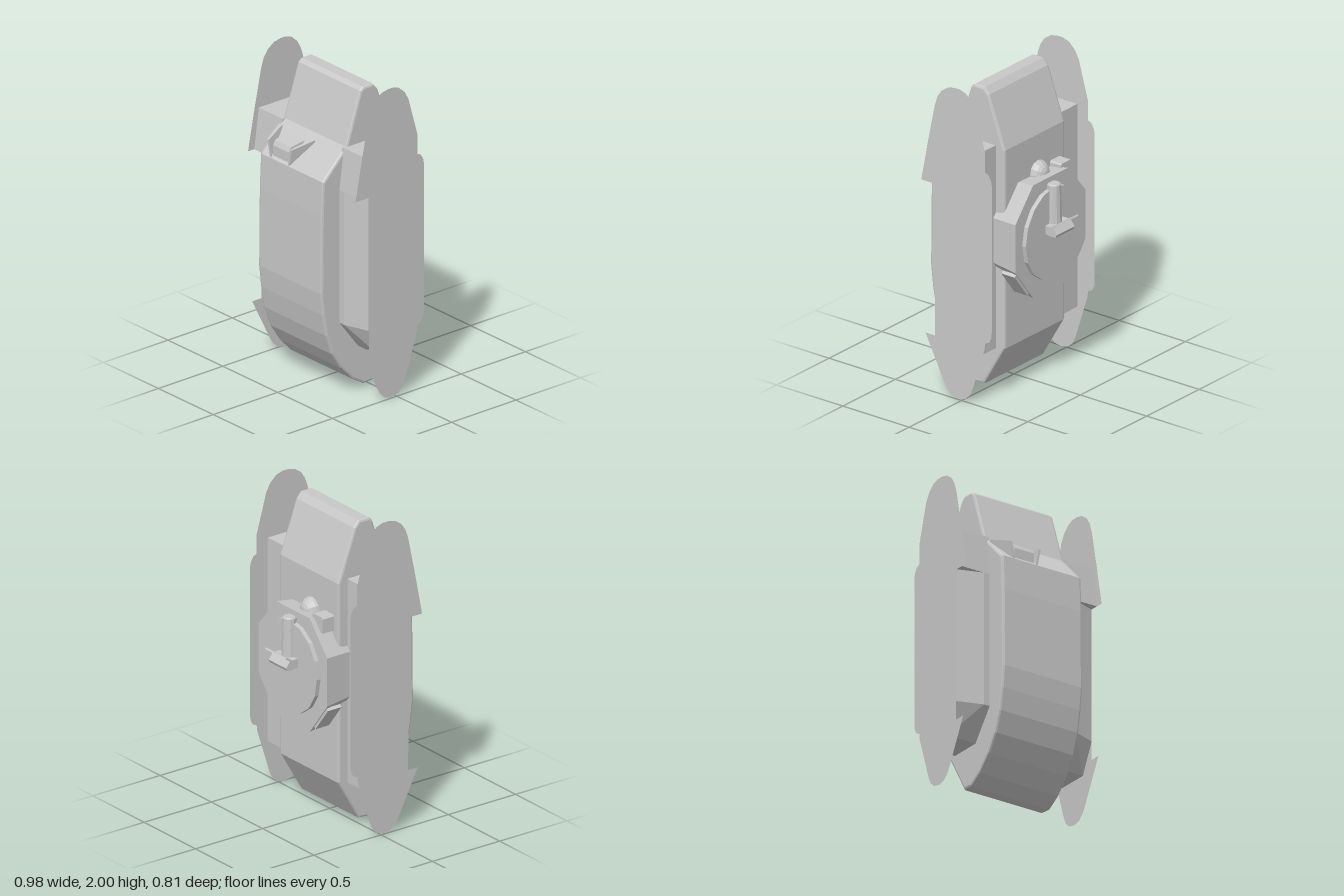
import * as THREE from 'three';

const grey = new THREE.MeshStandardMaterial({ color: 0xc8c8c8, flatShading: true, side: THREE.DoubleSide });
grey.name = 'light grey';

const toShape = (pts) => new THREE.Shape(pts.map(([a, b]) => new THREE.Vector2(a, b)));

// Extrude a (z, y) profile across x from x0 to x1
function acrossX(pts, x0, x1, bevel = 0) {
  const g = new THREE.ExtrudeGeometry(toShape(pts), {
    depth: x1 - x0 - 2 * bevel, bevelEnabled: bevel > 0,
    bevelSize: bevel, bevelThickness: bevel, bevelOffset: -bevel, bevelSegments: 2,
  });
  return g.rotateY(-Math.PI / 2).translate(x1 - bevel, 0, 0);
}

// Extrude an (x, y) profile along z from z0 to z1
function alongZ(pts, z0, z1) {
  return new THREE.ExtrudeGeometry(toShape(pts), { depth: z1 - z0, bevelEnabled: false }).translate(0, 0, z0);
}

// Extrude an (x, z) profile up y from y0 to y1
function alongY(pts, y0, y1) {
  const g = new THREE.ExtrudeGeometry(toShape(pts.map(([x, z]) => [x, -z])), { depth: y1 - y0, bevelEnabled: false });
  return g.rotateX(-Math.PI / 2).translate(0, y0, 0);
}

// Move every vertex by a rule
function reshape(g, rule) {
  const p = g.attributes.position, v = new THREE.Vector3();
  for (let i = 0; i < p.count; i++) {
    v.fromBufferAttribute(p, i);
    rule(v);
    p.setXYZ(i, v.x, v.y, v.z);
  }
  g.computeVertexNormals();
  return g;
}

export function createModel() {
  const root = new THREE.Group();
  root.name = 'armouredVehicle';
  const add = (name, geo, parent = root) => {
    const m = new THREE.Mesh(geo, grey);
    m.name = name;
    parent.add(m);
    return m;
  };

  // Hull with softened edges
  add('hull', acrossX([
    [0.0, 1.95], [-0.035, 1.91], [-0.155, 1.58], [-0.155, 0.3], [0.0, 0.035], [0.07, 0.03],
    [0.16, 0.085], [0.25, 0.18], [0.32, 0.29], [0.365, 0.42], [0.39, 0.56], [0.405, 0.7],
    [0.4, 1.2], [0.39, 1.42], [0.21, 1.6], [0.1, 1.93], [0.075, 1.95],
  ], -0.288, 0.288, 0.014));

  // Side plates and the sponsons between them and the hull
  const plate = [
    [0.06, 2.0], [0.11, 1.99], [0.16, 1.955], [0.19, 1.91], [0.21, 1.85], [0.262, 1.6], [0.312, 1.34],
    [0.208, 1.34], [0.208, 0.36], [0.28, 0.36], [0.145, 0.09], [0.115, 0.04], [0.08, 0.01], [0.035, 0],
    [-0.02, 0.012], [-0.055, 0.045], [-0.075, 0.09], [-0.165, 0.37], [-0.17, 0.41], [-0.2, 0.425],
    [-0.217, 0.46], [-0.22, 0.5], [-0.22, 1.44], [-0.215, 1.47], [-0.195, 1.505], [-0.17, 1.515],
    [-0.17, 1.64], [-0.1, 1.89], [-0.07, 1.945], [-0.025, 1.985], [0.02, 2.0],
  ];
  const panel = [[0.27, -0.09], [0.27, 0.265], [0.33, 0.265], [0.49, 0.21], [0.49, -0.09]];
  for (const s of [1, -1]) {
    const side = new THREE.Group();
    side.name = s > 0 ? 'leftSide' : 'rightSide';
    root.add(side);
    add('sidePlate', new THREE.ShapeGeometry(toShape(plate)).rotateY(-Math.PI / 2).translate(s * 0.49, 0, 0), side);
    const sponson = new THREE.Group();
    sponson.name = 'sponson';
    sponson.scale.x = s;
    side.add(sponson);
    add('upperBlock', acrossX([[-0.09, 1.6], [-0.09, 1.34], [0.265, 1.34], [0.23, 1.6]], 0.27, 0.488), sponson);
    add('middlePanel', alongY(panel, 0.48, 1.34), sponson);
    add('lowerSlope', reshape(alongY(panel, 0.29, 0.48), (v) => {
      if (v.y < 0.3) v.z = Math.min(v.z, 0.12);
    }), sponson);
  }

  // Front visor: a small hood with flared cheeks
  const visor = new THREE.Group();
  visor.name = 'frontVisor';
  visor.position.x = -0.115;
  root.add(visor);
  add('hood', reshape(acrossX([[0.24, 1.555], [0.24, 1.42], [0.375, 1.42], [0.375, 1.5], [0.36, 1.53]], -0.085, 0.085), (v) => {
    if (v.z > 0.3) v.x *= 0.85;
  }), visor);
  for (const s of [1, -1]) {
    add('cheek', reshape(acrossX([[0.25, 1.575], [0.25, 1.46], [0.387, 1.42], [0.387, 1.53]], -0.014, 0.014), (v) => {
      v.x = v.x * (v.z > 0.3 ? 0.5 : 1) + s * (v.z > 0.3 ? 0.088 : 0.125) + s * (v.y - 1.45) * 0.2;
    }), visor);
  }

  // Turret: a flared eight-sided body
  const turret = new THREE.Group();
  turret.name = 'turret';
  root.add(turret);
  const octagon = [
    [0.165, 1.35], [-0.165, 1.35], [-0.335, 1.15], [-0.335, 0.84],
    [-0.165, 0.62], [0.165, 0.62], [0.335, 0.84], [0.335, 1.15],
  ];
  add('turretBody', reshape(alongZ(octagon, -0.275, -0.09), (v) => {
    if (v.z > -0.1) {
      v.x *= 0.93;
      v.y = 0.985 + (v.y - 0.985) * 0.93;
    }
  }), turret);
  add('turretDisc', new THREE.CylinderGeometry(0.27, 0.27, 0.03, 16)
    .rotateX(Math.PI / 2).scale(1, 1.09, 1).translate(0, 0.995, -0.288), turret);

  // Flaps along the lower turret edges
  for (const s of [1, -1]) {
    const flap = add('turretFlap', new THREE.BoxGeometry(0.2, 0.022, 0.1), turret);
    flap.position.set(s * 0.26, 0.735, -0.215);
    flap.rotation.z = s * Math.atan2(0.22, 0.17);
  }
  add('lowerTurretFlap', new THREE.BoxGeometry(0.28, 0.02, 0.09).translate(0, 0.622, -0.215), turret);

  // Dome and hatch box on the hull behind the turret
  add('dome', new THREE.SphereGeometry(0.075, 12, 5, 0, Math.PI * 2, 0, Math.PI / 2)
    .rotateX(-Math.PI / 2).translate(-0.03, 1.34, -0.15), turret);
  add('hatchBox', alongZ([[-0.235, 1.37], [-0.245, 1.36], [-0.245, 1.27], [-0.155, 1.27], [-0.145, 1.28], [-0.145, 1.36], [-0.155, 1.37]],
    -0.24, -0.15), turret);

  // Gun barrel with its cradle, shield and small fins
  const gun = new THREE.Group();
  gun.name = 'gun';
  turret.add(gun);
  add('barrel', new THREE.CylinderGeometry(0.043, 0.05, 0.28, 12).translate(0, 1.17, -0.3), gun);
  add('muzzle', new THREE.CylinderGeometry(0.034, 0.043, 0.01, 12).translate(0, 1.312, -0.3), gun);
  add('cradle', acrossX([[-0.29, 1.07], [-0.36, 1.07], [-0.39, 1.03], [-0.38, 1.01], [-0.29, 1.015]], -0.085, 0.085), gun);
  const shield = add('shield', new THREE.BoxGeometry(0.2, 0.012, 0.08), gun);
  shield.position.set(0, 1.08, -0.37);
  shield.rotation.x = 0.6;
  for (const s of [1, -1]) {
    add('fin', acrossX([[-0.3, 1.02], [-0.345, 1.02], [-0.33, 0.995], [-0.3, 1.0]], s * 0.05 - 0.012, s * 0.05 + 0.012), gun);
  }
  return root;
}
